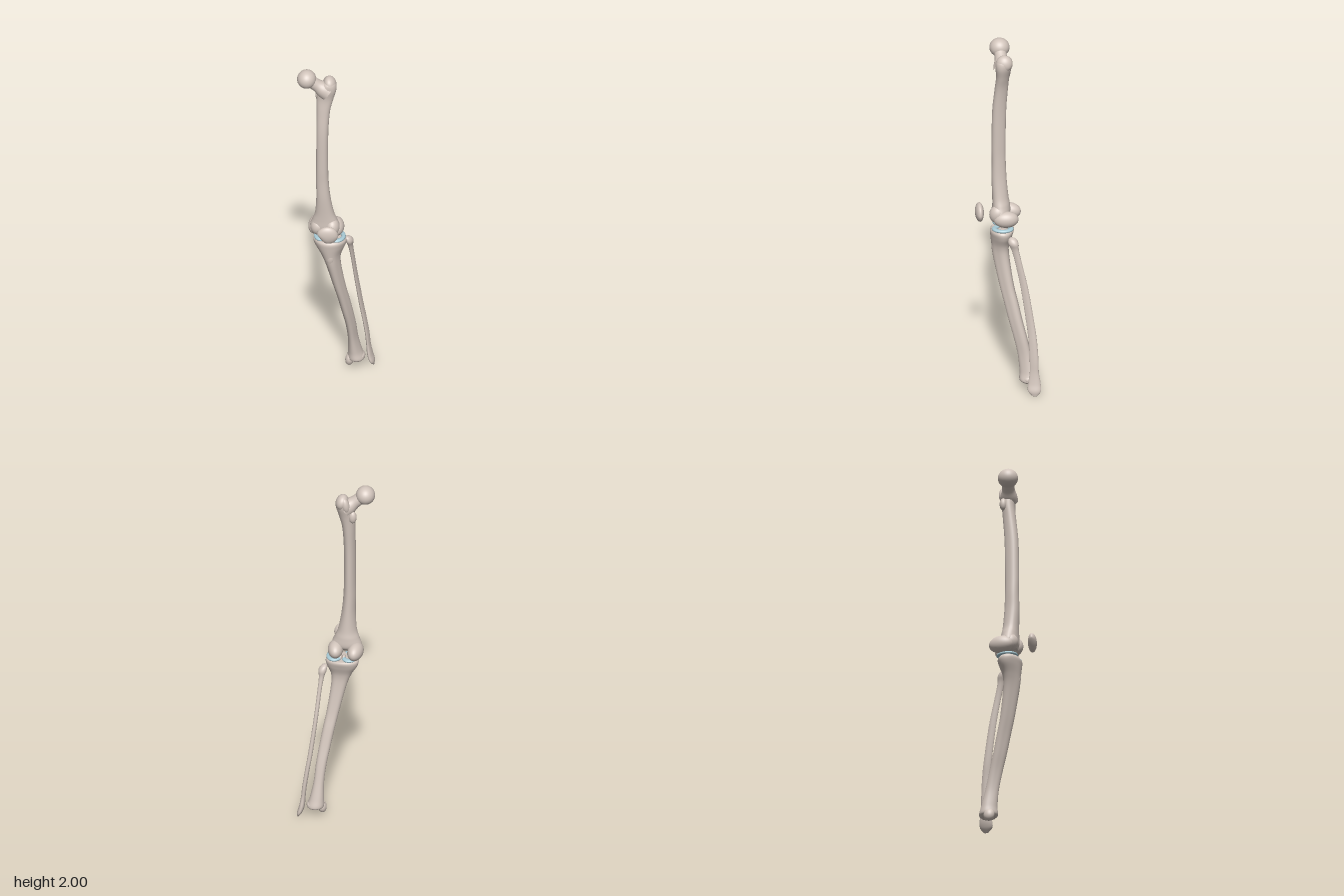
import * as THREE from 'three';

const V = (p) => new THREE.Vector3(...p);

// Smooth bone shaft through stations [x, y, z, radiusX, radiusZ], listed bottom to top.
// A ridge lobes the section three ways, pointing at ridgeAngle, and fades at both ends.
function loft(stations, ridge = 0, ridgeAngle = 0) {
  const centres = new THREE.CatmullRomCurve3(stations.map((s) => V(s.slice(0, 3))));
  const radii = new THREE.CatmullRomCurve3(stations.map((s) => V([s[3], s[4], 0])));
  centres.curveType = radii.curveType = 'catmullrom';
  const rows = (stations.length - 1) * 8;
  const sides = 32;
  const pos = [];
  const index = [];
  for (let i = 0; i <= rows; i++) {
    const t = i / rows;
    const c = centres.getPoint(t);
    const r = radii.getPoint(t);
    for (let j = 0; j < sides; j++) {
      const a = (j / sides) * Math.PI * 2;
      const k = 1 + ridge * Math.sin(Math.PI * t) * Math.cos(3 * (a - ridgeAngle));
      pos.push(c.x + Math.cos(a) * r.x * k, c.y, c.z + Math.sin(a) * r.y * k);
      if (i < rows) {
        const p = i * sides + j;
        const q = i * sides + ((j + 1) % sides);
        index.push(p, p + sides, q, q, p + sides, q + sides);
      }
    }
  }
  // end caps
  const low = pos.length / 3;
  const first = stations[0];
  const last = stations[stations.length - 1];
  pos.push(...first.slice(0, 3), ...last.slice(0, 3));
  for (let j = 0; j < sides; j++) {
    const n = (j + 1) % sides;
    index.push(low, j, n, low + 1, rows * sides + n, rows * sides + j);
  }
  const g = new THREE.BufferGeometry();
  g.setAttribute('position', new THREE.Float32BufferAttribute(pos, 3));
  g.setIndex(index);
  g.computeVertexNormals();
  return g;
}

// Ellipsoid swelling
function lump(name, centre, radii, material, rotation = [0, 0, 0]) {
  const m = new THREE.Mesh(new THREE.SphereGeometry(1, 32, 20), material);
  m.name = name;
  m.position.set(...centre);
  m.scale.set(...radii);
  m.rotation.set(...rotation);
  return m;
}

// Round waisted bar between two points
function bar(name, from, to, radii, material) {
  const a = V(from);
  const dir = V(to).sub(a);
  const len = dir.length();
  const curve = new THREE.SplineCurve(radii.map((r, i) => new THREE.Vector2(r, (i / (radii.length - 1)) * len)));
  const m = new THREE.Mesh(new THREE.LatheGeometry(curve.getPoints(16), 28), material);
  m.name = name;
  m.position.copy(a);
  m.quaternion.setFromUnitVectors(new THREE.Vector3(0, 1, 0), dir.normalize());
  return m;
}

function part(name, geometry, material) {
  const m = new THREE.Mesh(geometry, material);
  m.name = name;
  return m;
}

function group(name, ...children) {
  const g = new THREE.Group();
  g.name = name;
  g.add(...children);
  return g;
}

export function createModel() {
  const bone = new THREE.MeshStandardMaterial({ color: 0xd2c5bc });
  bone.name = 'bone';
  const cartilage = new THREE.MeshStandardMaterial({ color: 0xa9cbd6 });
  cartilage.name = 'cartilage';

  // Thigh bone: bowed shaft, ball head on a neck, trochanters and two condyles
  const femur = group('femur',
    part('femurShaft', loft([
      [-0.045, 0.968, 0.055, 0.05, 0.028],
      [-0.045, 1.0, 0.045, 0.082, 0.048],
      [-0.046, 1.05, 0.045, 0.066, 0.048],
      [-0.047, 1.1, 0.05, 0.05, 0.044],
      [-0.052, 1.2, 0.057, 0.038, 0.041],
      [-0.057, 1.3, 0.059, 0.034, 0.038],
      [-0.058, 1.4, 0.06, 0.032, 0.038],
      [-0.058, 1.6, 0.057, 0.032, 0.038],
      [-0.055, 1.74, 0.045, 0.036, 0.036],
      [-0.047, 1.82, 0.036, 0.045, 0.036],
      [-0.036, 1.88, 0.032, 0.05, 0.044],
      [-0.028, 1.915, 0.03, 0.04, 0.042],
      [-0.025, 1.935, 0.028, 0.022, 0.03],
    ], 0.06, -Math.PI / 2), bone),
    lump('femoralHead', [-0.145, 1.948, 0.057], [0.052, 0.052, 0.055], bone),
    bar('femoralNeck', [-0.035, 1.865, 0.035], [-0.14, 1.945, 0.056], [0.05, 0.045, 0.035, 0.034, 0.036], bone),
    lump('greaterTrochanter', [-0.022, 1.91, 0.025], [0.034, 0.045, 0.045], bone, [0, 0, 0.25]),
    lump('trochanterCrest', [-0.045, 1.9, 0.005], [0.022, 0.045, 0.024], bone, [0, 0, -0.2]),
    lump('lesserTrochanter', [-0.082, 1.825, 0.015], [0.022, 0.036, 0.02], bone),
    lump('medialCondyle', [-0.099, 0.982, 0.008], [0.042, 0.048, 0.07], bone, [0, -0.12, 0]),
    lump('lateralCondyle', [0.012, 0.982, 0.014], [0.042, 0.046, 0.068], bone, [0, 0.12, 0]),
    lump('medialGrooveLip', [-0.082, 0.998, 0.055], [0.042, 0.048, 0.042], bone),
    lump('lateralGrooveLip', [-0.003, 1.005, 0.06], [0.04, 0.052, 0.046], bone),
  );

  // Kneecap: flattened, pointed below and hollowed slightly behind
  const capGeometry = new THREE.SphereGeometry(1, 36, 24);
  const p = capGeometry.attributes.position;
  for (let i = 0; i < p.count; i++) {
    const [x, y, z] = [p.getX(i), p.getY(i), p.getZ(i)];
    const taper = y < 0 ? 1 + 0.3 * y : 1;
    p.setXYZ(i, x * taper, y - 0.15 * x * x * Math.sign(x) * (1 - y), z * (z < 0 ? 0.85 : 1));
  }
  capGeometry.computeVertexNormals();
  const patella = part('patella', capGeometry, bone);
  patella.position.set(-0.012, 1.013, 0.158);
  patella.scale.set(0.057, 0.052, 0.026);
  patella.rotation.y = 0.16;

  // Shin bone: wide plateau, ridged shaft, ankle end
  const tibia = group('tibia',
    part('tibiaShaft', loft([
      [0.1, 0.05, -0.115, 0.036, 0.04],
      [0.098, 0.065, -0.115, 0.047, 0.052],
      [0.091, 0.11, -0.11, 0.038, 0.045],
      [0.083, 0.2, -0.093, 0.028, 0.037],
      [0.074, 0.3, -0.07, 0.028, 0.036],
      [0.059, 0.4, -0.043, 0.03, 0.037],
      [0.042, 0.5, -0.018, 0.031, 0.038],
      [0.023, 0.6, 0.008, 0.033, 0.039],
      [-0.004, 0.75, 0.037, 0.041, 0.044],
      [-0.016, 0.82, 0.043, 0.055, 0.048],
      [-0.021, 0.875, 0.038, 0.082, 0.06],
      [-0.022, 0.905, 0.036, 0.09, 0.065],
      [-0.022, 0.921, 0.036, 0.082, 0.058],
    ], 0.12, Math.PI / 2), bone),
    lump('tibialTuberosity', [-0.012, 0.815, 0.075], [0.024, 0.05, 0.02], bone),
    lump('medialMalleolus', [0.064, 0.05, -0.103], [0.024, 0.036, 0.03], bone, [0, 0, -0.15]),
    lump('ankleLateralEdge', [0.122, 0.07, -0.12], [0.024, 0.022, 0.036], bone),
    ...[-0.032, -0.012].map((x) => lump('plateauSpine', [x, 0.922, 0.03], [0.011, 0.018, 0.02], bone)),
  );

  // Slender outer shin bone
  const fibula = part('fibula', loft([
    [0.188, 0.003, -0.15, 0.004, 0.012],
    [0.179, 0.03, -0.148, 0.014, 0.035],
    [0.167, 0.07, -0.148, 0.015, 0.034],
    [0.159, 0.13, -0.147, 0.012, 0.025],
    [0.152, 0.2, -0.146, 0.012, 0.024],
    [0.138, 0.3, -0.139, 0.012, 0.023],
    [0.123, 0.4, -0.126, 0.012, 0.022],
    [0.1, 0.6, -0.093, 0.011, 0.02],
    [0.087, 0.75, -0.06, 0.011, 0.018],
    [0.079, 0.83, -0.04, 0.014, 0.02],
    [0.075, 0.868, -0.03, 0.022, 0.028],
    [0.069, 0.89, -0.024, 0.018, 0.022],
    [0.065, 0.9, -0.02, 0.007, 0.009],
  ], 0.08, Math.PI / 2), bone);

  // C-shaped cushions in the knee, open towards the middle
  const menisci = [-1, 1].map((side) => {
    const arc = Math.PI * 1.6;
    const g = new THREE.TorusGeometry(0.034, 0.012, 12, 40, arc);
    g.rotateZ((side > 0 ? 0 : Math.PI) - arc / 2).rotateX(Math.PI / 2).scale(1, 0.75, 1.3);
    const m = part(side > 0 ? 'lateralMeniscus' : 'medialMeniscus', g, cartilage);
    m.position.set(-0.022 + side * 0.041, 0.929, 0.032);
    return m;
  });

  return group('legBones', femur, patella, tibia, fibula, group('menisci', ...menisci));
}
